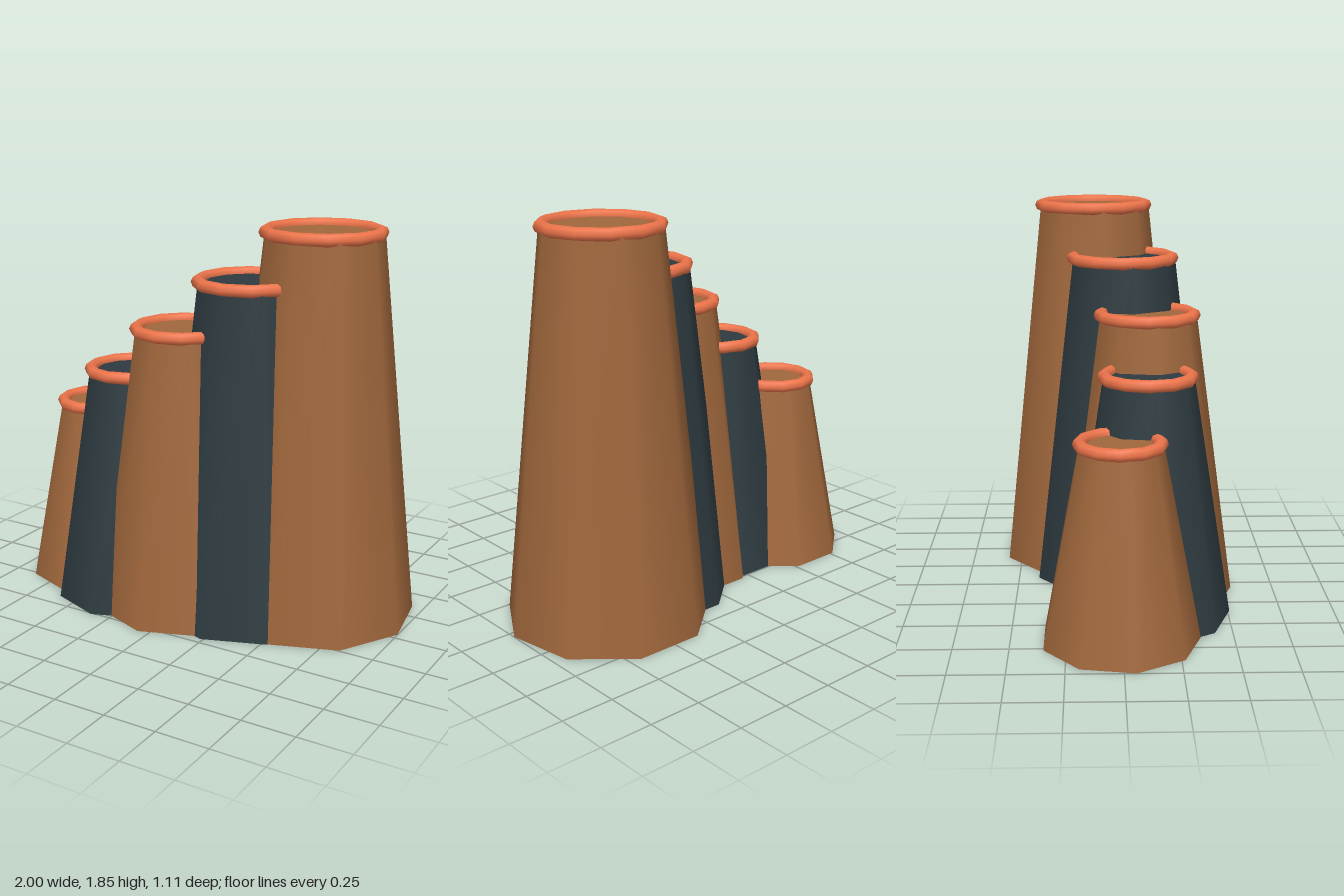
import * as THREE from 'three';

const brown = new THREE.MeshStandardMaterial({ color: 0xa0673c });
const slate = new THREE.MeshStandardMaterial({ color: 0x2e3b40 });
const coral = new THREE.MeshStandardMaterial({ color: 0xec744a });

const TUBE = 0.03;

// One tapered pipe, closed at both ends, with a rolled rim around its top
function createPipe({ x, z, height, base, top, rim }, material) {
  const pipe = new THREE.Group();
  pipe.position.set(x, 0, z);

  const body = new THREE.Mesh(new THREE.CylinderGeometry(top, base, height, 9), material);
  body.name = 'pipeBody';
  body.position.y = height / 2;

  const ring = new THREE.Mesh(new THREE.TorusGeometry(rim, TUBE, 8, 12), coral);
  ring.name = 'pipeRim';
  ring.rotation.x = Math.PI / 2;
  ring.position.y = height;

  pipe.add(body, ring);
  return pipe;
}

export function createModel() {
  const model = new THREE.Group();
  model.name = 'pipeCluster';

  // Pipes step down from the tall left end to the short right end along an arc
  const depths = [-0.12, 0.02, 0.128, 0.12, -0.01];
  depths.forEach((z, i) => {
    const pipe = createPipe({
      x: 0.53 - 0.2935 * i,
      z,
      height: 1.82 - 0.23 * i,
      base: 0.476 - 0.0288 * i,
      top: 0.277 - 0.022 * i,
      rim: 0.262 - 0.0208 * i,
    }, i % 2 ? slate : brown);
    pipe.name = `pipe${i + 1}`;
    model.add(pipe);
  });
  return model;
}
